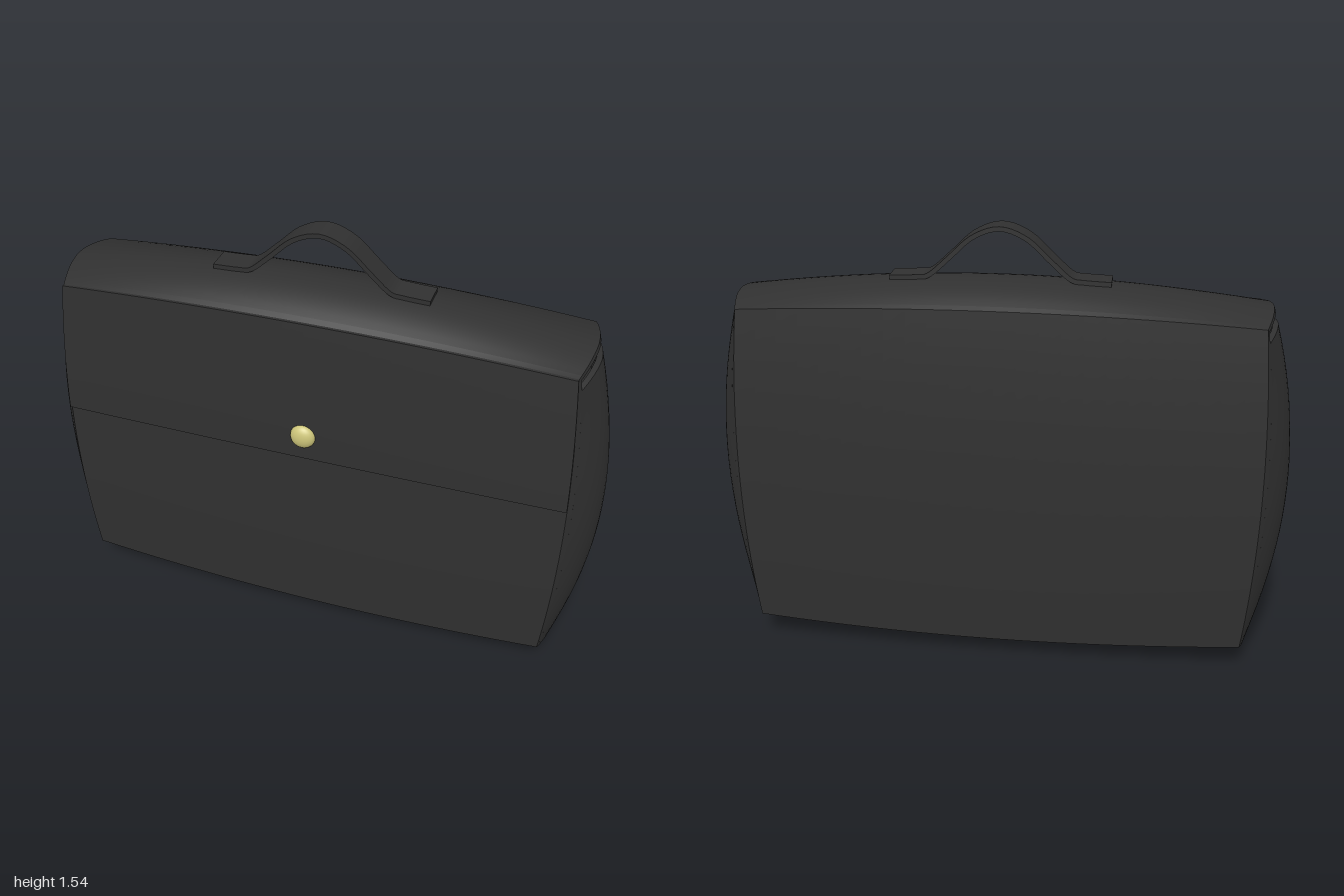
import * as THREE from 'three';

const leather = new THREE.MeshStandardMaterial({ color: 0x303030 });
const brass = new THREE.MeshStandardMaterial({ color: 0xcdc57a });
const CENTRE_Z = -0.018;

// Pillow-shaped case: u, v, w run from -1 to 1 across width, height and depth
function pillow(u, v, w, out) {
  const bulge = Math.max(0, 1 - Math.abs(w) ** 1.8);
  const uu = u * u, vv = v * v;
  return out.set(
    u * (0.9 - 0.03 * vv + (0.1 - 0.07 * vv) * bulge),
    0.685 + v * (0.615 - 0.03 * uu + (0.07 - 0.04 * uu) * bulge),
    CENTRE_Z + w * (0.206 - 0.012 * uu - 0.02 * vv)
  );
}

// A solid wall filling a range of u, v and w
function wall(name, [u0, u1], [v0, v1], [w0, w1], segments) {
  const geometry = new THREE.BoxGeometry(1, 1, 1, ...segments);
  const pos = geometry.attributes.position;
  const p = new THREE.Vector3();
  for (let i = 0; i < pos.count; i++) {
    p.fromBufferAttribute(pos, i).addScalar(0.5);
    pillow(
      THREE.MathUtils.lerp(u0, u1, p.x),
      THREE.MathUtils.lerp(v0, v1, p.y),
      THREE.MathUtils.lerp(w0, w1, p.z),
      p
    );
    pos.setXYZ(i, p.x, p.y, p.z);
  }
  geometry.computeVertexNormals();
  const mesh = new THREE.Mesh(geometry, leather);
  mesh.name = name;
  return mesh;
}

// Flat-ended strap arched over the lid
function makeHandle() {
  const width = 0.092, half = 0.008;
  const right = [[0.09, 1.505], [0.17, 1.433], [0.235, 1.376], [0.28, 1.367], [0.37, 1.363]];
  const points = [
    ...right.map(([x, y]) => new THREE.Vector2(-x, y)).reverse(),
    new THREE.Vector2(0, 1.536),
    ...right.map(([x, y]) => new THREE.Vector2(x, y)),
  ];
  const curve = new THREE.SplineCurve(points);
  const top = [], bottom = [];
  for (let i = 0; i <= 48; i++) {
    const p = curve.getPoint(i / 48);
    const t = curve.getTangent(i / 48);
    const n = new THREE.Vector2(-t.y, t.x).multiplyScalar(half);
    top.push(p.clone().add(n));
    bottom.unshift(p.clone().sub(n));
  }
  const geometry = new THREE.ExtrudeGeometry(new THREE.Shape([...top, ...bottom]), {
    depth: width, bevelEnabled: false,
  });
  geometry.translate(0, 0, CENTRE_Z - width / 2);
  const mesh = new THREE.Mesh(geometry, leather);
  mesh.name = 'handle';
  return mesh;
}

export function createModel() {
  const model = new THREE.Group();
  model.name = 'briefcase';
  const full = [-1, 1], inner = [-0.91, 0.91];

  // Front and back panels, base and lid
  model.add(wall('frontPanel', full, full, [0.91, 1], [24, 20, 1]));
  model.add(wall('backPanel', full, full, [-1, -0.91], [24, 20, 1]));
  model.add(wall('base', full, [-1, -0.97], inner, [24, 1, 16]));
  model.add(wall('lid', full, [0.975, 1], inner, [24, 1, 16]));

  // Bulging ends, stopping short of the lid to leave a slit
  model.add(wall('leftSide', [0.98, 1], [-0.97, 0.91], inner, [1, 20, 16]));
  model.add(wall('rightSide', [-1, -0.98], [-0.97, 0.91], inner, [1, 20, 16]));

  // Closing flap over the upper front
  model.add(wall('frontFlap', full, [0.15, 1], [1, 1.06], [24, 12, 1]));

  // Button clasp
  const clasp = new THREE.Mesh(new THREE.SphereGeometry(0.044, 24, 16), brass);
  clasp.name = 'clasp';
  clasp.scale.z = 0.6;
  clasp.position.set(0, 0.87, 0.199);
  model.add(clasp);

  model.add(makeHandle());
  return model;
}
